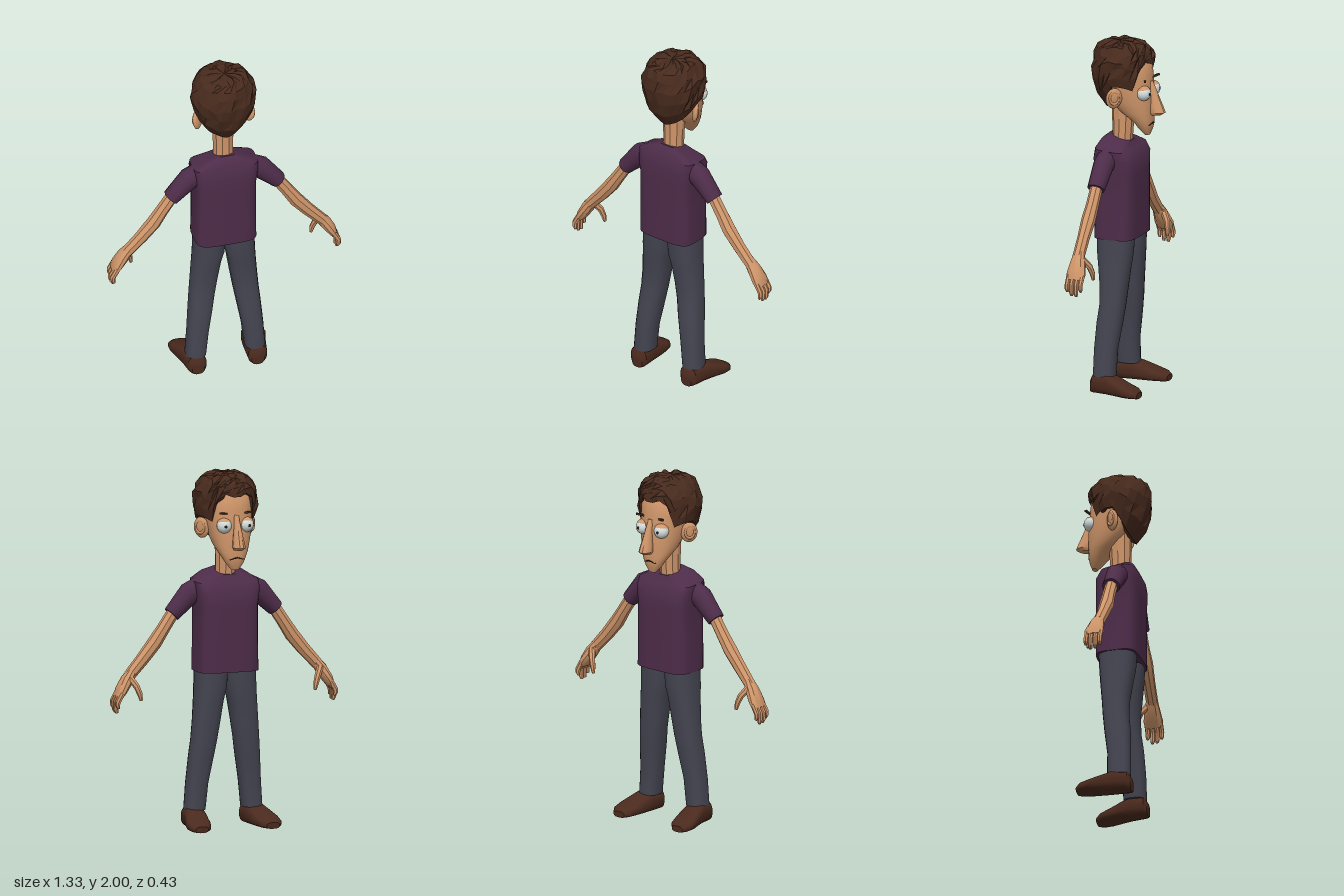
import * as THREE from 'three';
import { toCreasedNormals } from 'three/addons/utils/BufferGeometryUtils.js';

const V = (x, y, z) => new THREE.Vector3(x, y, z);
const mat = (name, color, side = THREE.FrontSide) => {
  const m = new THREE.MeshStandardMaterial({ color, side });
  m.name = name;
  return m;
};

// Superellipse ring around c, spanned by u and v (u x v points along the loft)
function ring(c, u, v, sides, n = 2) {
  const pts = [];
  const pw = (t) => Math.sign(t) * Math.abs(t) ** (2 / n);
  for (let i = 0; i < sides; i++) {
    const t = ((i + 0.5) / sides) * Math.PI * 2;
    pts.push(c.clone().addScaledVector(u, pw(Math.cos(t))).addScaledVector(v, pw(Math.sin(t))));
  }
  return pts;
}

// Skin over a list of rings, closed at both ends
function loft(rings, crease = 0.6) {
  const n = rings[0].length, pos = [], idx = [];
  rings.forEach((r) => r.forEach((p) => pos.push(p.x, p.y, p.z)));
  for (let i = 0; i < rings.length - 1; i++) {
    for (let j = 0; j < n; j++) {
      const a = i * n + j, b = i * n + ((j + 1) % n);
      idx.push(a, b, b + n, a, b + n, a + n);
    }
  }
  [0, rings.length - 1].forEach((k) => {
    const c = rings[k].reduce((s, p) => s.add(p), V(0, 0, 0)).divideScalar(n);
    const ci = pos.length / 3;
    pos.push(c.x, c.y, c.z);
    for (let j = 0; j < n; j++) {
      const a = k * n + j, b = k * n + ((j + 1) % n);
      if (k === 0) idx.push(ci, b, a); else idx.push(ci, a, b);
    }
  });
  const g = new THREE.BufferGeometry();
  g.setAttribute('position', new THREE.Float32BufferAttribute(pos, 3));
  g.setIndex(idx);
  return toCreasedNormals(g, crease);
}

// Stack of level rings: [y, cx, halfWidth, zFront, zBack, tilt]
const stack = (rows, sides, n, crease) => loft(rows.map(([y, cx, w, zf, zb, tilt = 0]) =>
  ring(V(cx, y, (zf + zb) / 2), V(0, tilt, (zb - zf) / 2), V(w, 0, 0), sides, n)), crease);

// Limb along a path: [x, y, z, thickness, depth]
function limb(rows, sides, crease) {
  const c = rows.map((r) => V(r[0], r[1], r[2]));
  return loft(rows.map((r, i) => {
    const d = c[Math.min(i + 1, c.length - 1)].clone().sub(c[Math.max(i - 1, 0)]).normalize();
    const u = V(0, 0, 1).addScaledVector(d, -d.z).normalize();
    const v = d.clone().cross(u);
    return ring(c[i], u.multiplyScalar(r[4]), v.multiplyScalar(r[3]), sides);
  }), crease);
}

// Linear lookup in rows sorted by their first entry
function lookup(rows, t, k) {
  let i = 0;
  while (i < rows.length - 2 && t > rows[i + 1][0]) i++;
  const f = THREE.MathUtils.clamp((t - rows[i][0]) / (rows[i + 1][0] - rows[i][0]), 0, 1);
  return THREE.MathUtils.lerp(rows[i][k], rows[i + 1][k], f);
}

// Faceted tousled hair, following a hairline that varies around the head
function hairGeometry() {
  const shape = [ // y, halfWidth, zFront, zBack
    [1.6, 0.07, -0.1, 0.125], [1.66, 0.125, -0.11, 0.175], [1.74, 0.165, -0.125, 0.205],
    [1.85, 0.182, -0.138, 0.213], [1.91, 0.175, -0.138, 0.208], [1.96, 0.14, -0.11, 0.185],
    [1.985, 0.1, -0.06, 0.15], [2, 0.03, 0.03, 0.09]];
  const line = [ // angle from the back, y of the hairline
    [0, 1.6], [0.5, 1.61], [1, 1.64], [1.3, 1.69], [1.5, 1.76], [2, 1.76],
    [2.2, 1.73], [2.38, 1.74], [2.5, 1.86], [2.8, 1.895], [3.15, 1.865]];
  let seed = 7;
  const rnd = () => (seed = (seed * 16807) % 2147483647) / 2147483647 - 0.5;
  const cols = 26, rows = 8, rings = [];
  for (let i = 0; i <= rows; i++) {
    const r = [];
    for (let j = 0; j < cols; j++) {
      const a = ((j + 0.5 * (i % 2)) / cols) * Math.PI * 2;
      const low = lookup(line, Math.min(a, Math.PI * 2 - a), 1);
      const t = Math.max(i - 1, 0) / (rows - 1);
      let y = low + (1.993 - low) * Math.sin(t * Math.PI / 2);
      const w = lookup(shape, y, 1), zf = lookup(shape, y, 2), zb = lookup(shape, y, 3);
      const k = (i === 0 ? 0.72 : 1) * (1 + rnd() * (i > 1 ? 0.1 : 0.03));
      y += i > 1 ? rnd() * 0.02 : i === 0 ? 0.015 : 0;
      r.push(V(Math.sin(a) * w * k, y, (zf + zb) / 2 + Math.cos(a) * (zb - zf) / 2 * k));
    }
    rings.push(r);
  }
  return loft(rings, 0.1);
}

export function createModel() {
  const skin = mat('skin', 0xd0966a);
  const shirt = mat('purple shirt', 0x4d2c49);
  const denim = mat('dark trousers', 0x444551);
  const hair = mat('brown hair', 0x472a1d, THREE.DoubleSide);
  const leather = mat('brown shoe leather', 0x4b2a1e);
  const white = mat('eye white', 0xd3ddda);
  const black = mat('dark lines', 0x24160f);

  const model = new THREE.Group();
  model.name = 'standingMan';
  const add = (parent, name, geo, material, p = [0, 0, 0], r = [0, 0, 0], s = [1, 1, 1]) => {
    const m = new THREE.Mesh(geo, material);
    m.name = name;
    m.position.set(...p);
    m.rotation.set(...r);
    m.scale.set(...s);
    parent.add(m);
    return m;
  };

  // Shirt body, neck and head
  add(model, 'shirtBody', stack([
    [0.88, 0, 0.175, -0.075, 0.165], [1.1, 0, 0.172, -0.075, 0.165], [1.25, 0, 0.172, -0.075, 0.166],
    [1.34, 0, 0.185, -0.072, 0.166], [1.39, 0, 0.185, -0.045, 0.155, 0.008],
    [1.425, 0, 0.125, -0.02, 0.135, 0.015], [1.442, 0, 0.062, -0.015, 0.112, 0.018]], 24, 4.5), shirt);
  add(model, 'neck', stack([[1.4, 0, 0.058, -0.012, 0.1], [1.5, 0, 0.058, -0.02, 0.1],
    [1.66, 0, 0.064, -0.03, 0.105]], 10, 2, 0.3), skin);
  add(model, 'head', stack([
    [1.465, 0, 0.022, -0.122, -0.095], [1.5, 0, 0.05, -0.135, -0.062], [1.53, 0, 0.066, -0.14, -0.04],
    [1.565, 0, 0.085, -0.14, 0], [1.6, 0, 0.1, -0.14, 0.05], [1.65, 0, 0.114, -0.14, 0.09],
    [1.72, 0, 0.125, -0.135, 0.13], [1.8, 0, 0.133, -0.13, 0.16], [1.87, 0, 0.135, -0.12, 0.165],
    [1.93, 0, 0.11, -0.08, 0.15]], 22, 2.3, 0.7), skin);
  add(model, 'nose', stack([
    [1.582, 0, 0.024, -0.19, -0.12], [1.598, 0, 0.036, -0.216, -0.12], [1.63, 0, 0.032, -0.203, -0.12],
    [1.7, 0, 0.021, -0.172, -0.12], [1.775, 0, 0.014, -0.14, -0.11]], 10, 2, 0.7), skin);
  add(model, 'hair', hairGeometry(), hair);
  const lips = new THREE.CatmullRomCurve3([V(-0.04, 1.524, -0.13), V(0, 1.535, -0.141), V(0.04, 1.524, -0.13)]);
  add(model, 'mouthLine', new THREE.TubeGeometry(lips, 10, 0.004, 5), black);

  // Everything that comes in pairs, built for +x and mirrored
  const ball = new THREE.SphereGeometry(1, 18, 12);
  const lid = new THREE.SphereGeometry(0.0445, 18, 6, 0, Math.PI * 2, 0, 1.05);
  const sleeve = limb([[0.13, 1.345, 0.07, 0.07, 0.06], [0.205, 1.315, 0.07, 0.065, 0.058],
    [0.31, 1.205, 0.07, 0.047, 0.05]], 12, 0.7);
  const arm = limb([[0.28, 1.245, 0.07, 0.036, 0.034], [0.36, 1.125, 0.07, 0.037, 0.036],
    [0.41, 1.05, 0.073, 0.041, 0.04], [0.48, 0.965, 0.072, 0.038, 0.034],
    [0.562, 0.875, 0.068, 0.033, 0.034]], 8, 0.25);
  const palm = limb([[0.545, 0.9, 0.068, 0.028, 0.03], [0.58, 0.85, 0.062, 0.036, 0.044],
    [0.615, 0.795, 0.058, 0.03, 0.056], [0.633, 0.76, 0.058, 0.02, 0.052]], 10, 0.4);
  const thumb = limb([[0.567, 0.865, 0.04, 0.02, 0.02], [0.54, 0.82, 0.008, 0.018, 0.018],
    [0.526, 0.78, -0.002, 0.016, 0.015], [0.518, 0.742, -0.004, 0.009, 0.009]], 7, 0.4);
  const leg = stack([
    [0.1, 0.17, 0.058, 0.013, 0.142], [0.25, 0.157, 0.061, 0.01, 0.14], [0.4, 0.138, 0.068, -0.012, 0.132],
    [0.5, 0.125, 0.072, -0.024, 0.12], [0.6, 0.113, 0.076, -0.033, 0.122], [0.72, 0.099, 0.08, -0.046, 0.138],
    [0.79, 0.088, 0.087, -0.053, 0.148], [0.9, 0.083, 0.087, -0.06, 0.153]], 16, 2.6, 0.8);
  const shoe = loft([ // z, centre x, half width, height
    [0.152, 0.172, 0.036, 0.08], [0.135, 0.174, 0.054, 0.11], [0.05, 0.182, 0.062, 0.118],
    [0, 0.19, 0.067, 0.1], [-0.07, 0.204, 0.072, 0.07], [-0.12, 0.21, 0.064, 0.053], [-0.15, 0.212, 0.038, 0.035],
  ].map(([z, x, w, h]) => ring(V(x, h / 2, z), V(0, h / 2, 0), V(w, 0, 0), 16, 3)), 0.7);

  for (const side of [1, -1]) {
    const half = new THREE.Group();
    half.name = side > 0 ? 'pairedPartsPlusX' : 'pairedPartsMinusX';
    half.scale.x = side;
    model.add(half);

    // Face details
    add(half, 'eye', ball, white, [0.066, 1.715, -0.112], [0, 0, 0], [0.042, 0.042, 0.042]);
    add(half, 'pupil', ball, black, [0.07, 1.715, -0.152], [0, 0, 0], [0.009, 0.009, 0.004]);
    add(half, 'eyelid', lid, skin, [0.066, 1.715, -0.112], [0.15, 0, 0]);
    add(half, 'eyebrow', new THREE.BoxGeometry(0.07, 0.01, 0.012), hair, [0.066, 1.785, -0.122], [0, 0.4, 0.12]);
    add(half, 'ear', ball, skin, [0.145, 1.69, 0.033], [0, 0.7, -0.12], [0.018, 0.06, 0.047]);
    add(half, 'earHollow', new THREE.TorusGeometry(0.026, 0.007, 6, 14), skin,
      [0.156, 1.695, 0.026], [0, 0.7 + Math.PI / 2, 0], [1, 1.35, 1]);

    // Arm and hand
    add(half, 'sleeve', sleeve, shirt);
    add(half, 'arm', arm, skin);
    add(half, 'palm', palm, skin);
    add(half, 'thumb', thumb, skin);
    [0.018, 0.045, 0.072, 0.098].forEach((z, i) => {
      const end = [0.7, 0.672, 0.675, 0.695][i];
      add(half, 'finger', limb([[0.622, 0.785, z, 0.016, 0.0135], [0.65, 0.735, z, 0.016, 0.0135],
        [0.65, end + 0.018, z, 0.014, 0.013], [0.644, end, z, 0.008, 0.008]], 7, 0.4), skin);
    });

    // Leg and shoe
    add(half, 'trouserLeg', leg, denim);
    add(half, 'shoe', shoe, leather);
  }
  return model;
}
